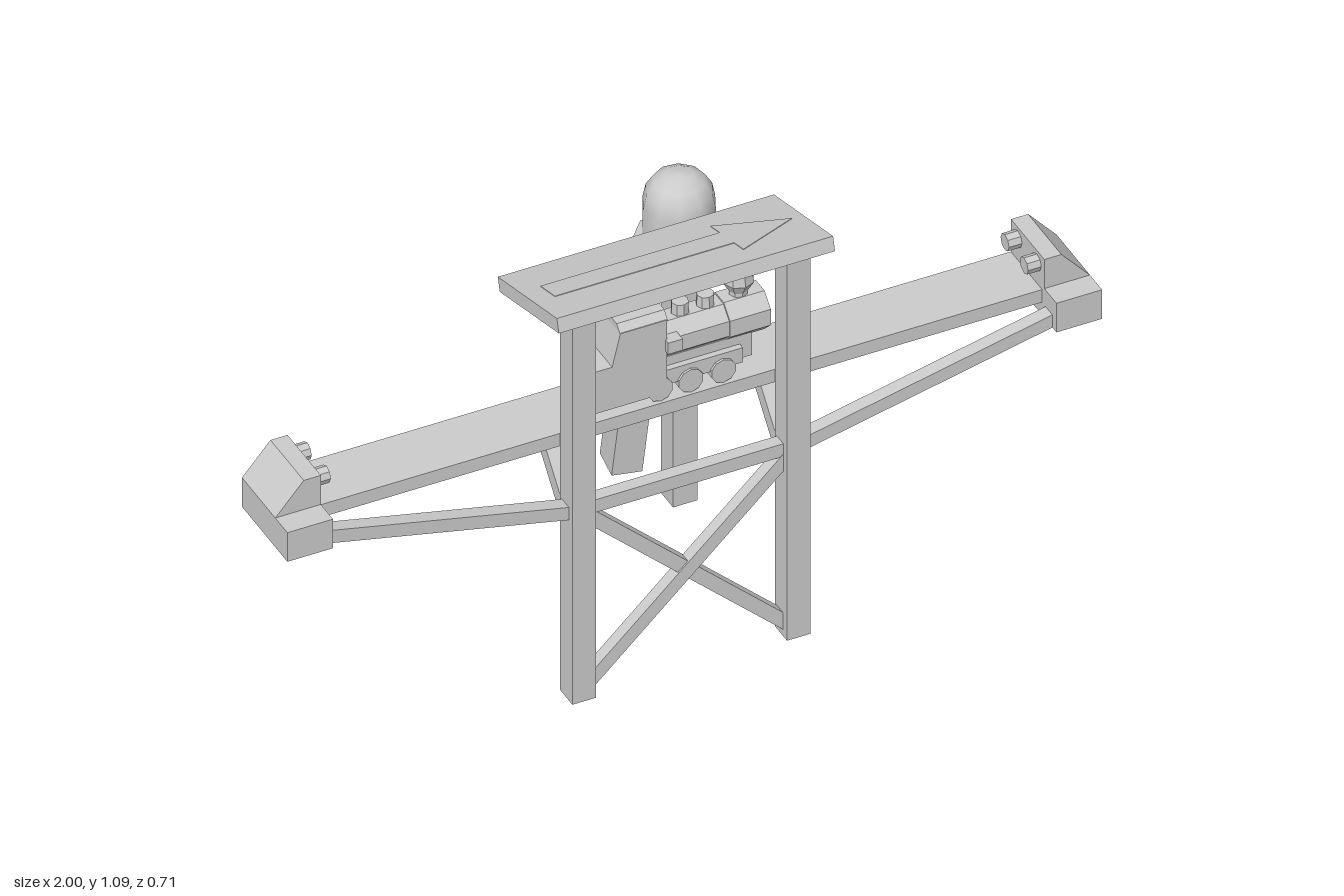
import * as THREE from 'three';

const material = new THREE.MeshStandardMaterial({ color: 0xcccccc, flatShading: true });
const smooth = new THREE.MeshStandardMaterial({ color: 0xcccccc });
const V = (x, y, z) => new THREE.Vector3(x, y, z);

function add(parent, name, geometry, x = 0, y = 0, z = 0, mat = material) {
  const mesh = new THREE.Mesh(geometry, mat);
  mesh.name = name;
  mesh.position.set(x, y, z);
  parent.add(mesh);
  return mesh;
}

// Box given by its lower and upper limits on each axis
function box(parent, name, x0, x1, y0, y1, z0, z1) {
  return add(parent, name, new THREE.BoxGeometry(x1 - x0, y1 - y0, z1 - z0),
    (x0 + x1) / 2, (y0 + y1) / 2, (z0 + z1) / 2);
}

// Straight square-cut bar between two points
function beam(parent, name, a, b, width, depth) {
  const dir = b.clone().sub(a);
  const mid = a.clone().add(b).multiplyScalar(0.5);
  const mesh = add(parent, name, new THREE.BoxGeometry(width, dir.length(), depth), mid.x, mid.y, mid.z);
  mesh.quaternion.setFromUnitVectors(V(0, 1, 0), dir.normalize());
  return mesh;
}

function extrude(points, depth) {
  const shape = new THREE.Shape(points.map(([x, y]) => new THREE.Vector2(x, y)));
  return new THREE.ExtrudeGeometry(shape, { depth, bevelEnabled: false });
}

const lathe = (points, sides) =>
  new THREE.LatheGeometry(points.map(([r, y]) => new THREE.Vector2(r, y)), sides);

function makeFrame() {
  const g = new THREE.Group();
  g.name = 'frame';
  for (const x of [-0.27, 0.257]) {
    box(g, 'post', x - 0.029, x + 0.029, 0, 1.04, 0.27, 0.33);
    beam(g, 'rearBrace', V(x, 0.445, 0.285), V(x, 0.665, 0.09), 0.034, 0.036);
  }
  box(g, 'crossBar', -0.25, 0.24, 0.495, 0.53, 0.28, 0.312);
  beam(g, 'crossBrace', V(-0.26, 0.5, 0.294), V(0.25, 0.02, 0.294), 0.034, 0.03);
  beam(g, 'crossBrace', V(0.25, 0.5, 0.298), V(-0.26, 0.02, 0.298), 0.034, 0.03);
  beam(g, 'sideStrut', V(-0.9, 0.65, 0.296), V(-0.28, 0.51, 0.296), 0.034, 0.034);
  beam(g, 'sideStrut', V(0.9, 0.65, 0.296), V(0.265, 0.51, 0.296), 0.034, 0.034);
  return g;
}

function makeTrack() {
  const g = new THREE.Group();
  g.name = 'track';
  box(g, 'trackBeam', -0.9, 0.9, 0.665, 0.7, 0.107, 0.262);
  // Sloped end stops with a pair of buffers each
  for (const side of [-1, 1]) {
    const profile = [[1, 0.63], [1, 0.71], [0.93, 0.79], [0.888, 0.79], [0.888, 0.63]]
      .map(([x, y]) => [x * side, y]);
    add(g, 'endStop', extrude(profile, 0.165), 0, 0, 0.108);
    box(g, 'endStopFoot', Math.min(side, side * 0.888), Math.max(side, side * 0.888), 0.63, 0.71, 0.27, 0.333);
    for (const z of [0.142, 0.237]) {
      const buffer = new THREE.CylinderGeometry(0.021, 0.021, 0.04, 8).rotateZ(Math.PI / 2);
      add(g, 'buffer', buffer, side * 0.876, 0.76, z);
    }
  }
  return g;
}

function makeRoof() {
  const g = new THREE.Group();
  g.name = 'roof';
  box(g, 'roofPanel', -0.345, 0.333, -0.018, 0.018, -0.152, 0.152);
  const arrow = extrude([[-0.295, -0.037], [0.145, -0.037], [0.145, -0.085], [0.305, 0],
    [0.145, 0.085], [0.145, 0.037], [-0.295, 0.037]], 0.002).rotateX(-Math.PI / 2);
  add(g, 'roofArrow', arrow, 0, 0.0175, 0);
  g.position.set(0, 1.031, 0.205);
  g.rotation.x = -0.275;
  return g;
}

function makeLocomotive() {
  const g = new THREE.Group();
  g.name = 'locomotive';
  // Cab with a low bunker behind it
  add(g, 'cab', extrude([[-0.217, 0.72], [-0.03, 0.72], [-0.03, 0.92], [-0.145, 0.92],
    [-0.165, 0.835], [-0.217, 0.835]], 0.116), 0, 0, -0.058);
  const roof = extrude([[-0.058, 0], [0.058, 0], [0.04, 0.018], [-0.04, 0.018]], 0.117)
    .rotateY(Math.PI / 2);
  add(g, 'cabRoof', roof, -0.145, 0.918, 0);
  const octagon = (r, len) => new THREE.CylinderGeometry(r, r, len, 8)
    .rotateY(Math.PI / 8).rotateZ(Math.PI / 2);
  add(g, 'boiler', octagon(0.053, 0.17), 0.05, 0.837, 0);
  add(g, 'smokebox', octagon(0.057, 0.1), 0.177, 0.838, 0);
  box(g, 'chassis', -0.04, 0.19, 0.735, 0.8, -0.035, 0.035);
  box(g, 'runningBoard', -0.04, 0.16, 0.735, 0.775, -0.05, 0.05);
  for (const x of [-0.045, 0.03, 0.11]) {
    for (const z of [-0.045, 0.045]) {
      const wheel = new THREE.CylinderGeometry(0.031, 0.031, 0.022, 10).rotateX(Math.PI / 2);
      add(g, 'wheel', wheel, x, 0.731, z);
    }
  }
  for (const x of [0.03, 0.092]) {
    add(g, 'steamDome', new THREE.CylinderGeometry(0.02, 0.022, 0.05, 8), x, 0.89, 0);
  }
  add(g, 'chimney', lathe([[0.022, 0.87], [0.022, 0.9], [0.037, 0.926], [0.033, 0.953], [0, 0.953]], 8), 0.173, 0, 0);
  g.position.z = 0.199;
  return g;
}

function makeMagnet() {
  const g = new THREE.Group();
  g.name = 'magnetRig';
  // Bent arm through the boiler and the rod hanging from it
  const arm = extrude([[-0.27, 0.835], [-0.14, 0.835], [0.065, 0.804], [0.065, 0.834],
    [-0.14, 0.866], [-0.27, 0.866]], 0.036).rotateY(Math.PI / 2);
  add(g, 'arm', arm, -0.034, 0, 0);
  box(g, 'hangingRod', -0.029, -0.003, 0.64, 0.825, -0.031, -0.007);
  // Horseshoe, slightly swung and twisted
  const outer = 0.127, inner = 0.048, foot = -0.145, steps = 9;
  const arc = (r, i) => [r * Math.cos(i * Math.PI / steps), r * Math.sin(i * Math.PI / steps)];
  const outline = [[outer, foot]];
  for (let i = 0; i <= steps; i++) outline.push(arc(outer, i));
  outline.push([-outer, foot], [-inner, foot]);
  for (let i = steps; i >= 0; i--) outline.push(arc(inner, i));
  outline.push([inner, foot]);
  const shoe = extrude(outline, 0.072).translate(0, 0, -0.036)
    .rotateZ(0.075).rotateY(Math.PI / 2).rotateZ(-0.08).rotateY(-0.12);
  add(g, 'horseshoeMagnet', shoe, -0.018, 0.541, -0.027);
  return g;
}

function makeLamp() {
  const g = new THREE.Group();
  g.name = 'lamp';
  box(g, 'lampPost', -0.03, 0.03, 0, 0.68, -0.03, 0.03);
  const flange = add(g, 'lampFlange', new THREE.CylinderGeometry(0.108, 0.108, 0.038, 8), 0, 0.691, 0);
  flange.rotation.y = Math.PI / 8 + 0.07;
  const dome = add(g, 'lampDome', lathe([[0.084, 0.7], [0.084, 0.81], [0.077, 0.845],
    [0.06, 0.872], [0.033, 0.887], [0, 0.891]], 10), 0, 0, 0, smooth);
  dome.rotation.y = 0.2;
  g.position.set(0.25, 0, -0.248);
  return g;
}

export function createModel() {
  const model = new THREE.Group();
  model.name = 'railwaySign';
  model.add(makeFrame(), makeTrack(), makeRoof(), makeLocomotive(), makeMagnet(), makeLamp());
  return model;
}
